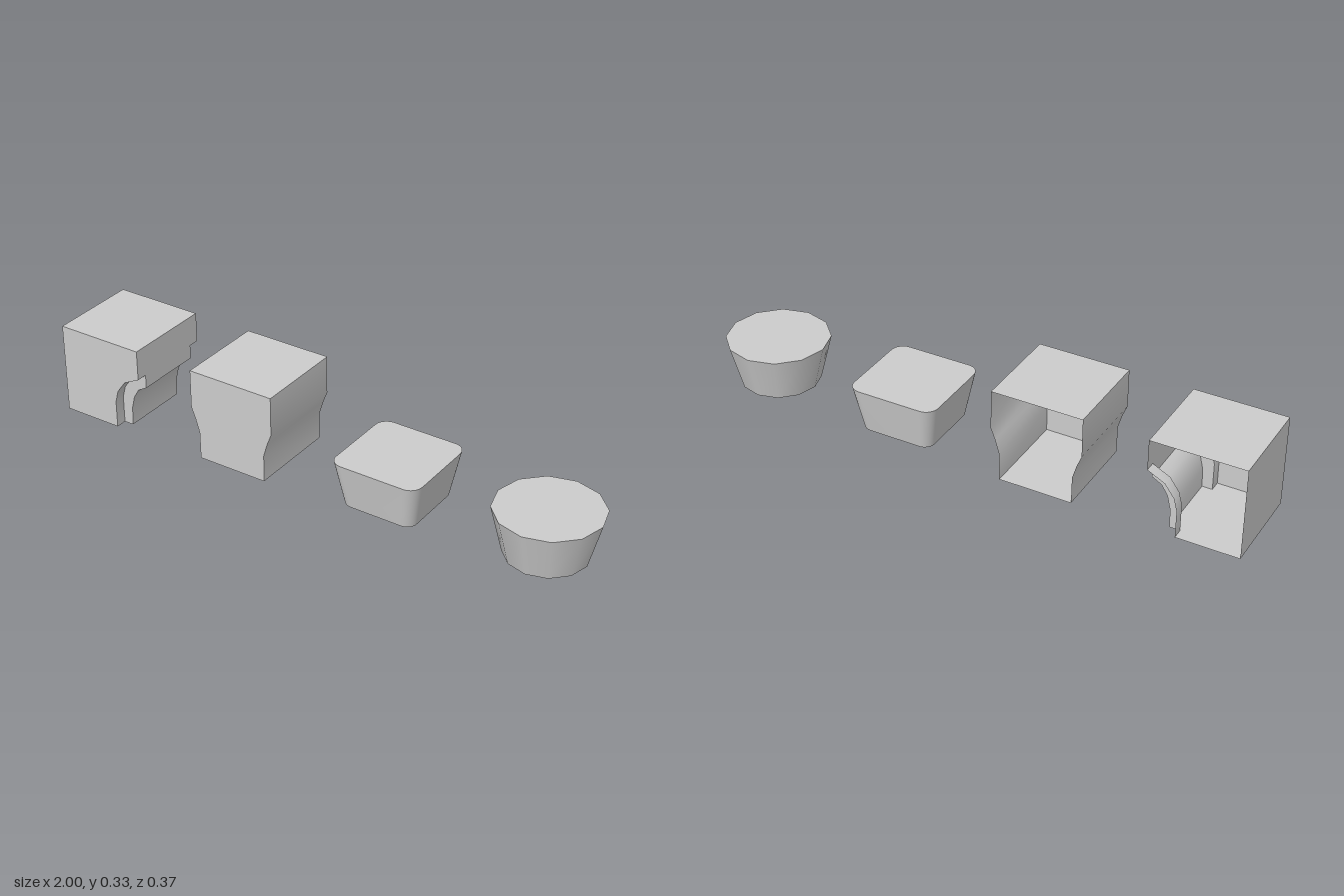
import * as THREE from 'three';
import { toCreasedNormals } from 'three/addons/utils/BufferGeometryUtils.js';

const H = 0.33, Z = 0.165, LEDGE = 0.125;
const material = new THREE.MeshStandardMaterial({ color: 0xcccccc, side: THREE.DoubleSide });

function add(group, name, geometry) {
  const mesh = new THREE.Mesh(geometry, material);
  mesh.name = name;
  group.add(mesh);
  return mesh;
}

// Skin around a closed counter-clockwise outline, from zBack to zFront, without end caps
function skin(outline, zBack, zFront) {
  const pos = [];
  outline.forEach(([px, py], i) => {
    const [qx, qy] = outline[(i + 1) % outline.length];
    pos.push(px, py, zBack, qx, qy, zBack, qx, qy, zFront);
    pos.push(px, py, zBack, qx, qy, zFront, px, py, zFront);
  });
  const geometry = new THREE.BufferGeometry();
  geometry.setAttribute('position', new THREE.Float32BufferAttribute(pos, 3));
  return toCreasedNormals(geometry, 0.7);
}

// Flat panel at depth z
function panel(outline, z) {
  const shape = new THREE.Shape(outline.map(([x, y]) => new THREE.Vector2(x, y)));
  return new THREE.ShapeGeometry(shape).translate(0, 0, z);
}

// Open-backed block with a quarter arch whose rim is stepped at both ends
function archBlock() {
  const group = new THREE.Group();
  group.name = 'archBlock';
  const left = -1, right = -0.674;
  const wide = [[-0.78, 0], [-0.78, 0.1], [-0.768, 0.145], [-0.735, 0.19], [right, 0.22]];
  const narrow = [[-0.744, 0], [-0.741, 0.07], [-0.73, 0.115], [-0.709, 0.15], [right, 0.17]];
  const outline = (arch) => [[left, 0], ...arch, [right, H], [left, H]];

  add(group, 'frontRimWalls', skin(outline(wide), LEDGE, Z));
  add(group, 'middleWalls', skin(outline(narrow), -LEDGE, LEDGE));
  add(group, 'backRimWalls', skin(outline(wide), -Z, -LEDGE));
  add(group, 'frontPanel', panel(outline(wide), Z));
  const ledge = [...narrow, ...[...wide].reverse()];
  add(group, 'frontArchLedge', panel(ledge, LEDGE));
  add(group, 'backArchLedge', panel(ledge, -LEDGE));
  return group;
}

// Open-backed block with sides that curve inwards to a narrower foot
function waistedBlock() {
  const group = new THREE.Group();
  group.name = 'waistedBlock';
  const centre = -0.286;
  const half = [[0.131, 0], [0.132, 0.1], [0.147, 0.15], [0.163, 0.19], [0.163, H]];
  const outline = [
    ...half.map(([x, y]) => [centre + x, y]),
    ...[...half].reverse().map(([x, y]) => [centre - x, y]),
  ];
  add(group, 'walls', skin(outline, -Z, Z));
  add(group, 'frontPanel', panel(outline, Z));
  return group;
}

// Tapered tub with a rounded square outline
function squareTub() {
  const r = 0.163, c = 0.045, height = 0.165, taper = 0.82;
  const shape = new THREE.Shape();
  for (let i = 0; i < 4; i++) {
    const a = (i * Math.PI) / 2, k = r - c;
    const sx = i === 0 || i === 3 ? 1 : -1, sy = i < 2 ? 1 : -1;
    shape.absarc(sx * k, sy * k, c, a, a + Math.PI / 2, false);
  }
  let geometry = new THREE.ExtrudeGeometry(shape, { depth: height, bevelEnabled: false, curveSegments: 4 });
  geometry.rotateX(-Math.PI / 2);
  // Narrow towards the bottom
  const p = geometry.attributes.position;
  for (let i = 0; i < p.count; i++) {
    const s = taper + (1 - taper) * (p.getY(i) / height);
    p.setXYZ(i, p.getX(i) * s, p.getY(i), p.getZ(i) * s);
  }
  geometry = toCreasedNormals(geometry, 0.7);
  return geometry.translate(0.264, 0, 0);
}

export function createModel() {
  const model = new THREE.Group();
  model.name = 'blockSet';
  model.add(archBlock(), waistedBlock());
  add(model, 'squareTub', squareTub());
  add(model, 'roundTub', new THREE.CylinderGeometry(0.184, 0.142, 0.165, 12).translate(0.816, 0.0825, 0));
  return model;
}
